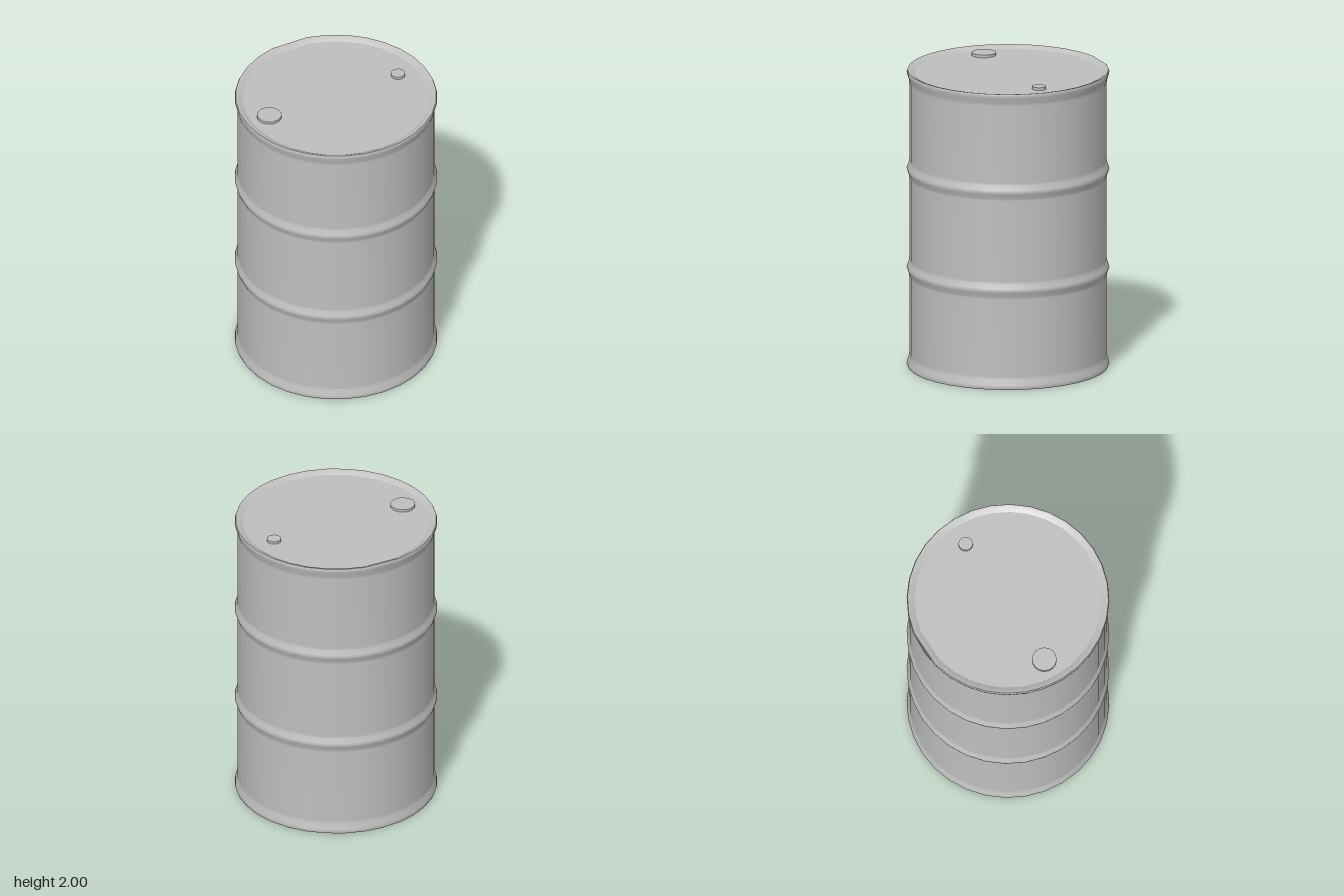
import * as THREE from 'three';

const SIDES = 32;
const BODY = 0.647, BULGE = 0.664, INNER = 0.613, RECESS = 0.02;

// Lathe from [radius, height] pairs
function lathe(profile) {
  return new THREE.LatheGeometry(profile.map(([r, y]) => new THREE.Vector2(r, y)), SIDES);
}

// Flatten one column of the upper edge: a small dent at the back
function dent(geometry) {
  const p = geometry.attributes.position;
  const column = (Math.PI * 2) / SIDES;
  for (let i = 0; i < p.count; i++) {
    const x = p.getX(i), y = p.getY(i), z = p.getZ(i);
    if (y < 1.95 || Math.hypot(x, z) < 0.1) continue;
    if (Math.abs(Math.atan2(x, -z) - column) > 0.02) continue;
    const k = Math.cos(column);
    p.setXYZ(i, x * k, y, z * k);
  }
  return geometry;
}

export function createModel() {
  const group = new THREE.Group();
  const steel = new THREE.MeshStandardMaterial({ color: 0xbfbfbf });
  steel.name = 'grey steel';
  const add = (name, geometry) => {
    const mesh = new THREE.Mesh(geometry, steel);
    mesh.name = name;
    group.add(mesh);
    return mesh;
  };

  // Side wall: flared ends and two rolled hoops
  const hoop = (y) => [
    [BODY, y - 0.06], [BODY + 0.001, y - 0.045], [BULGE - 0.004, y - 0.015], [BULGE, y],
    [BULGE - 0.004, y + 0.015], [BODY + 0.001, y + 0.045], [BODY, y + 0.06],
  ];
  const flare = [[0.659, 0], [BULGE, 0.012], [BULGE - 0.003, 0.03], [BODY + 0.003, 0.065], [BODY, 0.085]];
  const wall = [
    ...flare, ...hoop(2 / 3), ...hoop(4 / 3),
    ...flare.map(([r, y]) => [r, 2 - y]).reverse(),
  ];
  add('sideWall', dent(lathe(wall)));

  // Rims sloping in to the recessed ends
  add('topRim', dent(lathe([[0.659, 2], [0.64, 1.996], [INNER, 2 - RECESS]])));
  add('bottomRim', lathe([[INNER, RECESS], [0.64, 0.004], [0.659, 0]]));

  // Flat ends
  add('lid', dent(lathe([[INNER, 2 - RECESS], [0, 2 - RECESS]])));
  add('base', lathe([[0, RECESS], [INNER, RECESS]]));

  // Filler plugs
  for (const [name, x, z, r] of [['largePlug', -0.468, -0.117, 0.081], ['smallPlug', 0.471, 0.065, 0.047]]) {
    add(name, new THREE.CylinderGeometry(r, r, 0.03, 16)).position.set(x, 1.983, z);
  }
  return group;
}
